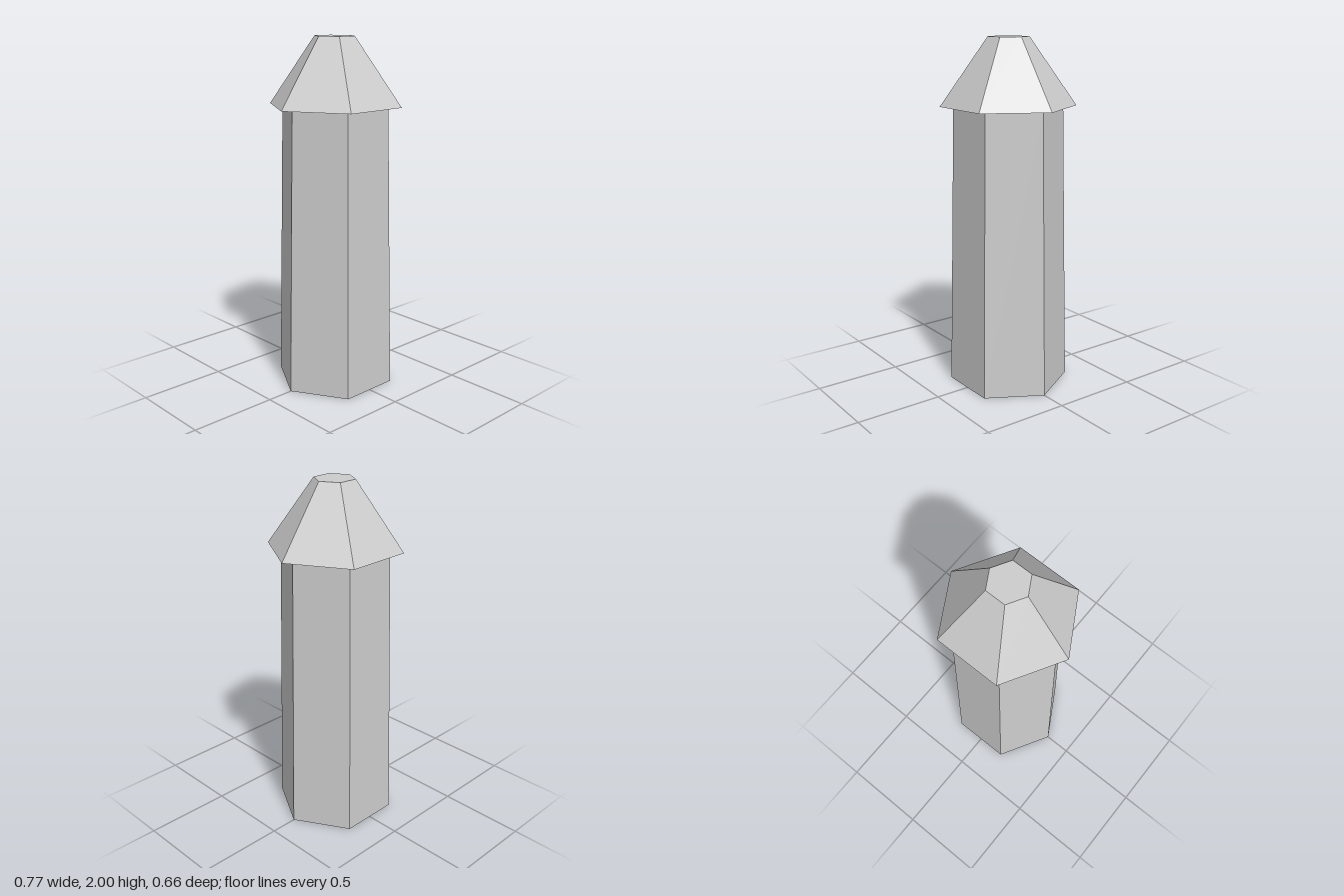
import * as THREE from 'three';

const SIDES = 6;

export function createModel() {
  const group = new THREE.Group();
  group.name = 'hexagonalPost';

  const stone = new THREE.MeshStandardMaterial({ color: 0xcccccc, flatShading: true, side: THREE.DoubleSide });
  stone.name = 'light grey';

  // Open six-sided tapered shell with corners on the x axis
  function taperedShell(name, topRadius, bottomRadius, bottomY, topY) {
    const geometry = new THREE.CylinderGeometry(
      topRadius, bottomRadius, topY - bottomY, SIDES, 1, true, Math.PI / 2);
    const mesh = new THREE.Mesh(geometry, stone);
    mesh.name = name;
    mesh.position.y = (bottomY + topY) / 2;
    group.add(mesh);
  }

  // Hollow shaft and the wider hollow cap resting on it
  taperedShell('shaft', 0.308, 0.345, 0, 1.62);
  taperedShell('cap', 0.115, 0.383, 1.62, 2);

  // Flat plate closing the tip of the cap
  const tip = new THREE.Mesh(new THREE.CircleGeometry(0.115, SIDES), stone);
  tip.name = 'capTop';
  tip.rotation.x = -Math.PI / 2;
  tip.position.y = 2;
  group.add(tip);

  return group;
}
